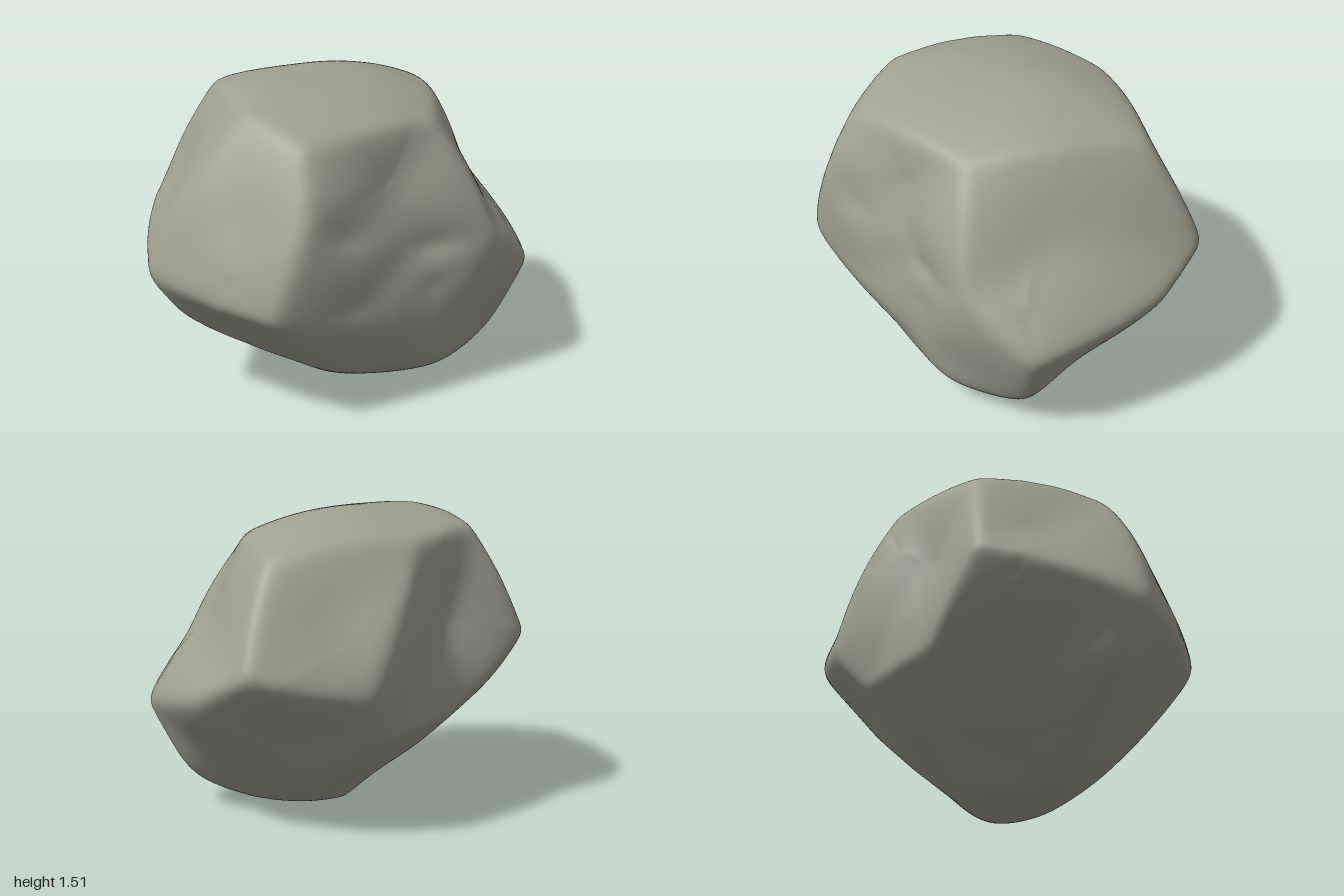
import * as THREE from 'three';
import { mergeVertices } from 'three/addons/utils/BufferGeometryUtils.js';

const CENTRE = new THREE.Vector3(0, 0.76, 0);
const { smoothstep, lerp } = THREE.MathUtils;

// Corners where the chipped faces meet
const CORNERS = {
  // rim of the top
  topFrontLeft: [0.31, 1.34, 0.46],
  topLeft: [0.7, 1.35, -0.32],
  topBack: [0.03, 1.4, -0.58],
  topBackRight: [-0.4, 1.43, -0.46],
  topRight: [-0.56, 1.46, 0.23],
  topFrontRight: [-0.43, 1.34, 0.57],
  // widest points
  frontTip: [0.56, 0.8, 0.66],
  leftFront: [0.88, 0.56, 0.51],
  leftTip: [1.015, 0.7, -0.18],
  leftBack: [0.94, 0.84, -0.48],
  backTip: [0.41, 0.72, -0.725],
  backRight: [-0.63, 0.91, -0.6],
  rightTip: [-1.02, 0.68, 0.08],
  frontRight: [-0.66, 0.59, 0.7],
  frontRightBrow: [-0.48, 1.05, 0.705],
  // front ledge
  hollowRight: [-0.32, 0.93, 0.655],
  hollowLeft: [0.2, 0.78, 0.6],
  lipRight: [-0.25, 0.58, 0.685],
  lipLeft: [0.22, 0.6, 0.645],
  // underside
  underBackRight: [-0.22, 0.56, -0.57],
  underBackLeft: [0.25, 0.5, -0.63],
  underRight: [-0.86, 0.44, 0.05],
  footRight: [-0.17, 0.05, 0.2],
  footBack: [0.05, 0.03, -0.04],
  footLeft: [0.32, 0.1, -0.1],
  footFront: [0.4, 0, 0.2],
  toeLeft: [0.69, 0.13, 0.41],
  toeFront: [0.38, 0.15, 0.61],
  toeFrontRight: [-0.27, 0.2, 0.53],
};

// Faces: the middle point, raised or hollowed, then the corners around it
const FACES = [
  [[-0.15, 1.51, -0.05], 'topFrontLeft topLeft topBack topBackRight topRight topFrontRight'],
  [[0.66, 0.98, 0.2], 'topFrontLeft topLeft leftBack leftTip leftFront frontTip'],
  [[0.5, 1.07, -0.52], 'topLeft topBack backTip leftBack'],
  [[-0.19, 1.03, -0.5], 'topBack topBackRight backRight underBackRight underBackLeft backTip'],
  [[-0.66, 1.07, -0.23], 'topBackRight topRight rightTip backRight'],
  [[-0.69, 1.02, 0.41], 'topRight topFrontRight frontRightBrow frontRight rightTip'],
  [[0, 1.08, 0.565], 'topFrontRight topFrontLeft frontTip hollowLeft hollowRight frontRightBrow'],
  [[0, 0.72, 0.635], 'frontRight frontRightBrow hollowRight hollowLeft frontTip lipLeft lipRight'],
  [[0.2, 0.36, 0.65], 'frontRight lipRight lipLeft frontTip leftFront toeLeft toeFront toeFrontRight'],
  [[0.8, 0.4, 0.13], 'leftTip leftFront toeLeft footLeft'],
  [[0.58, 0.53, -0.39], 'leftBack backTip underBackLeft footLeft leftTip'],
  [[0.05, 0.24, -0.28], 'underBackRight underBackLeft footLeft footBack footRight'],
  [[-0.52, 0.46, -0.15], 'backRight underBackRight footRight underRight rightTip'],
  [[-0.5, 0.36, 0.38], 'frontRight rightTip underRight footRight toeFrontRight'],
  [[0.25, 0.04, 0.41], 'toeFrontRight toeFront toeLeft footFront footRight'],
  [[0.25, 0.01, 0.09], 'footRight footFront toeLeft footLeft footBack'],
];

// Each face becomes a fan of wedges around its middle point
function buildWedges() {
  const rel = (p) => new THREE.Vector3(...p).sub(CENTRE);
  const wedges = [];
  for (const [middle, names] of FACES) {
    const ring = names.split(' ').map((name) => rel(CORNERS[name]));
    ring.forEach((a, i) => {
      const points = [rel(middle), a, ring[(i + 1) % ring.length]];
      const inverse = new THREE.Matrix3().set(
        points[0].x, points[1].x, points[2].x,
        points[0].y, points[1].y, points[2].y,
        points[0].z, points[1].z, points[2].z,
      ).invert();
      wedges.push({ inverse, lengths: points.map((p) => p.length()) });
    });
  }
  return wedges;
}

// Distance to the surface, with wedges bowed outwards, more so above the middle;
// inner is 0 on a face's border and 1 at its middle point
function sampleStone(d, wedges) {
  const w = new THREE.Vector3();
  const best = new THREE.Vector3();
  let score = -Infinity;
  let lengths;
  for (const wedge of wedges) {
    w.copy(d).applyMatrix3(wedge.inverse);
    const s = Math.min(w.x, w.y, w.z);
    if (s > score) {
      score = s;
      best.copy(w);
      lengths = wedge.lengths;
    }
  }
  const flat = 1 / (best.x + best.y + best.z);
  const share = best.toArray().map((b, i) => b * lengths[i]);
  const total = share[0] + share[1] + share[2];
  const round = share.reduce((sum, b, i) => sum + b * lengths[i], 0) / total;
  const bow = 0.2 + 0.3 * smoothstep(d.y, -0.5, 0);
  return { radius: lerp(flat, round, bow), inner: share[0] / total };
}

// Average each vertex with its neighbours, by its own weight
function soften(radii, index, weights, passes) {
  for (let pass = 0; pass < passes; pass++) {
    const sum = new Float32Array(radii.length);
    const count = new Float32Array(radii.length);
    for (let i = 0; i < index.count; i += 3) {
      for (let k = 0; k < 3; k++) {
        const a = index.getX(i + k);
        sum[a] += radii[index.getX(i + ((k + 1) % 3))];
        count[a]++;
      }
    }
    for (let i = 0; i < radii.length; i++) {
      radii[i] = lerp(radii[i], sum[i] / count[i], 0.7 * weights[i]);
    }
  }
}

export function createModel() {
  const stone = new THREE.MeshStandardMaterial({ color: 0xa0a090 });
  stone.name = 'greyGreenStone';

  let geometry = new THREE.IcosahedronGeometry(1, 52);
  geometry.deleteAttribute('uv');
  geometry.deleteAttribute('normal');
  geometry = mergeVertices(geometry, 1e-5);

  const pos = geometry.attributes.position;
  const wedges = buildWedges();
  const d = new THREE.Vector3();
  const radii = new Float32Array(pos.count);
  const weights = new Float32Array(pos.count);
  for (let i = 0; i < pos.count; i++) {
    d.fromBufferAttribute(pos, i).normalize();
    const { radius, inner } = sampleStone(d, wedges);
    radii[i] = radius;
    // Faces and the front of the base are smooth, borders stay crisp
    const base = smoothstep(-d.y, 0.5, 0.7) * smoothstep(d.z, -0.1, 0.3);
    weights[i] = Math.max(Math.min(1, inner * 5), 0.6 * base);
  }
  soften(radii, geometry.index, weights, 45);
  soften(radii, geometry.index, weights.fill(1), 6);
  for (let i = 0; i < pos.count; i++) {
    d.fromBufferAttribute(pos, i).normalize().multiplyScalar(radii[i]).add(CENTRE);
    pos.setXYZ(i, d.x, d.y, d.z);
  }

  // Rest on the ground
  geometry.computeBoundingBox();
  geometry.translate(0, -geometry.boundingBox.min.y, 0);
  geometry.computeVertexNormals();

  const boulder = new THREE.Mesh(geometry, stone);
  boulder.name = 'boulder';
  const group = new THREE.Group();
  group.name = 'rock';
  group.add(boulder);
  return group;
}
